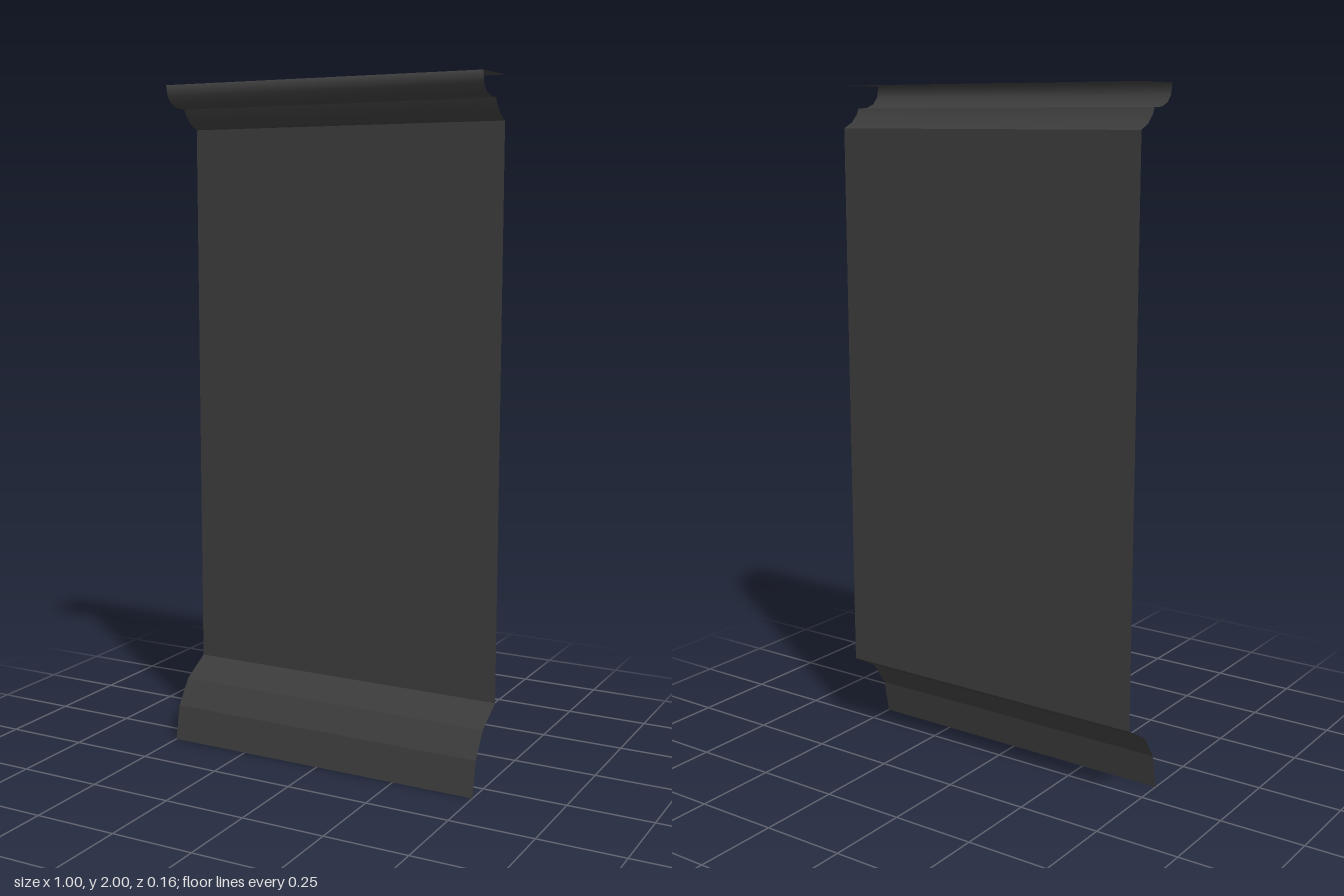
import * as THREE from 'three';

// Sweeps an open [z, y] profile across the width as a thin sheet
function sheet(name, profile, material, smooth) {
  const pos = [], idx = [];
  for (const [z, y] of profile) pos.push(-0.5, y, z, 0.5, y, z);
  for (let i = 0; i < profile.length - 1; i++) {
    const a = i * 2;
    idx.push(a, a + 1, a + 3, a, a + 3, a + 2);
  }
  let geo = new THREE.BufferGeometry();
  geo.setAttribute('position', new THREE.Float32BufferAttribute(pos, 3));
  geo.setIndex(idx);
  if (!smooth) geo = geo.toNonIndexed();
  geo.computeVertexNormals();
  const mesh = new THREE.Mesh(geo, material);
  mesh.name = name;
  return mesh;
}

export function createModel() {
  const group = new THREE.Group();
  group.name = 'mouldedWallPanel';
  const charcoal = new THREE.MeshStandardMaterial({ color: 0x3b3b3b, side: THREE.DoubleSide });
  charcoal.name = 'charcoal';

  // Flared foot
  group.add(sheet('skirt', [[0.08, 0], [0.06, 0.104], [0.01, 0.178], [-0.08, 0.23]], charcoal, false));
  // Flat wall
  group.add(sheet('panel', [[-0.08, 0.23], [-0.08, 1.878]], charcoal, false));
  // Hollow below the cornice, with a small step
  group.add(sheet('cornice cove',
    [[-0.08, 1.878], [-0.045, 1.895], [-0.022, 1.918], [-0.014, 1.935]], charcoal, true));
  // Rounded lip carrying the flat top ledge
  group.add(sheet('cornice lip and ledge',
    [[-0.014, 1.935], [0.025, 1.937], [0.055, 1.948], [0.073, 1.968], [0.08, 2], [-0.08, 2]], charcoal, true));
  return group;
}
